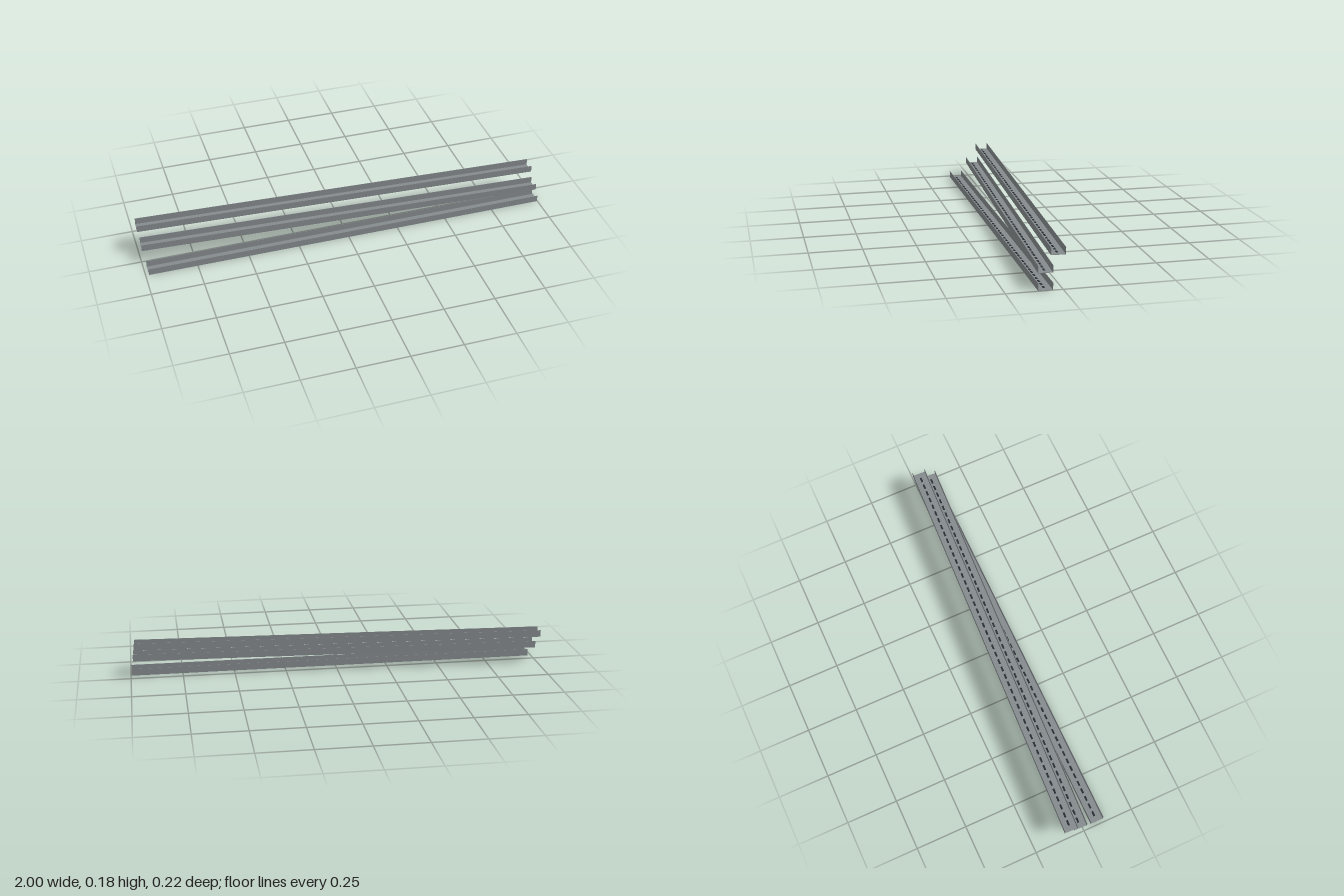
import * as THREE from 'three';

const LENGTH = 1.981, WIDTH = 0.065, HEIGHT = 0.033, WALL = 0.0017;
const SLOTS = 48, PITCH = 0.0405;

const steel = new THREE.MeshStandardMaterial({ color: 0x858a8d });
steel.name = 'galvanised steel';
const dark = new THREE.MeshStandardMaterial({ color: 0x262d33 });
dark.name = 'dark slot';

// U-shaped section, open at the top, run along x
function channelGeometry() {
  const w = WIDTH / 2, i = w - WALL;
  const section = new THREE.Shape([
    [-w, 0], [w, 0], [w, HEIGHT], [i, HEIGHT],
    [i, WALL], [-i, WALL], [-i, HEIGHT], [-w, HEIGHT],
  ].map(([x, y]) => new THREE.Vector2(x, y)));
  return new THREE.ExtrudeGeometry(section, { depth: LENGTH, bevelEnabled: false })
    .translate(0, 0, -LENGTH / 2)
    .rotateY(Math.PI / 2);
}

export function createModel() {
  const model = new THREE.Group();
  model.name = 'stackedChannels';
  const channelGeo = channelGeometry();
  const slotGeo = new THREE.BoxGeometry(0.025, 0.0008, 0.009);

  function addChannel(name, x, y, z, turn) {
    const group = new THREE.Group();
    group.name = name;
    const body = new THREE.Mesh(channelGeo, steel);
    body.name = 'channelBody';
    group.add(body);

    // Row of slots down the middle of the floor
    for (let n = 0; n < SLOTS; n++) {
      const slot = new THREE.Mesh(slotGeo, dark);
      slot.name = 'floorSlot';
      slot.position.set((n - (SLOTS - 1) / 2) * PITCH, WALL + 0.0004, 0);
      group.add(slot);
    }
    group.position.set(x, y, z);
    group.rotation.y = turn;
    model.add(group);
  }

  addChannel('bottomChannel', 0.007, 0, 0.0755, 0);
  addChannel('middleChannel', -0.003, 0.0735, 0.027, -0.0467);
  addChannel('topChannel', -0.0095, 0.147, -0.0295, -0.0464);
  return model;
}
